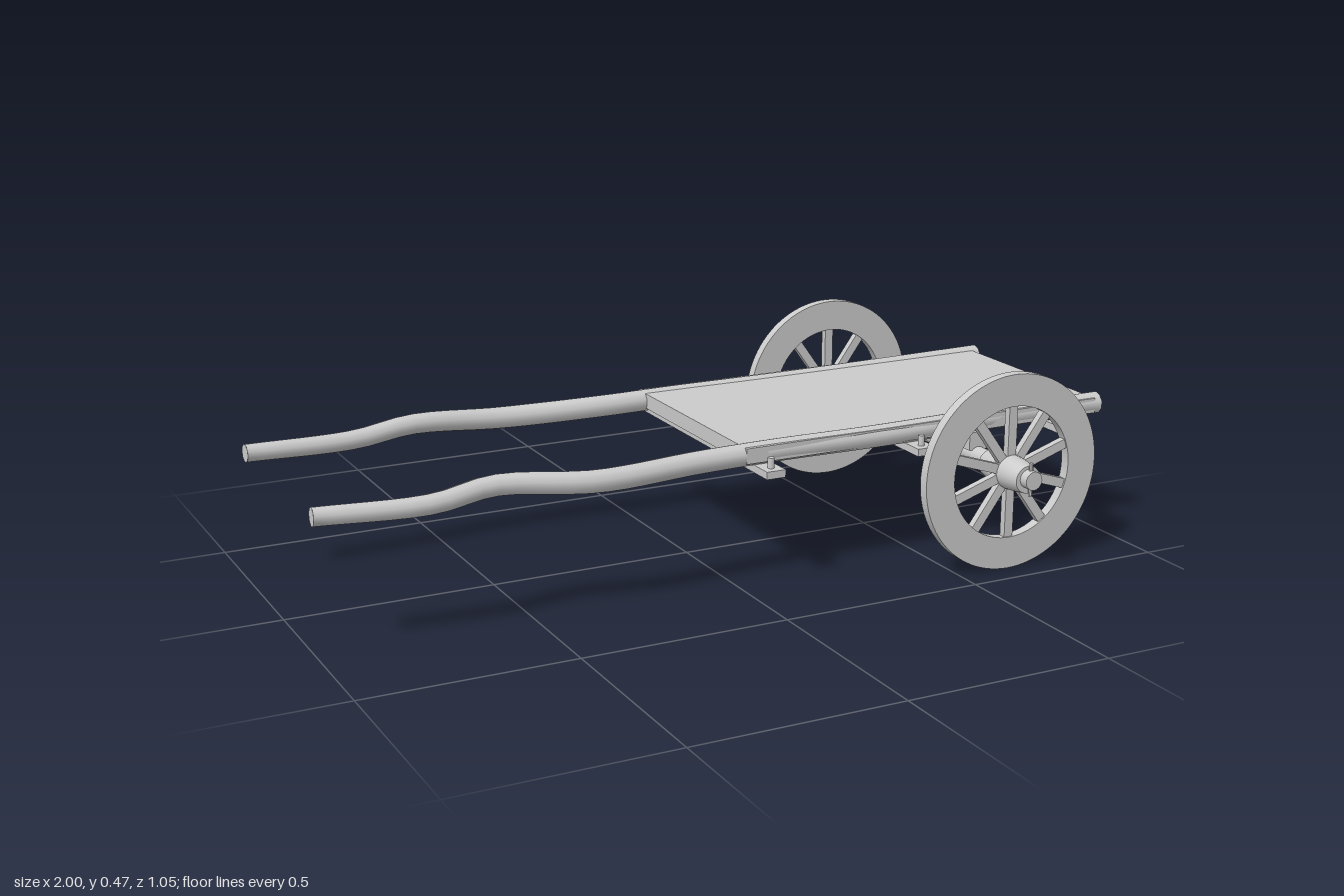
import * as THREE from 'three';

const mat = new THREE.MeshStandardMaterial({ color: 0xcccccc });
const flatMat = new THREE.MeshStandardMaterial({ color: 0xcccccc, flatShading: true });

const AXLE_X = 0.633, AXLE_Y = 0.241;

function add(parent, name, geometry, x = 0, y = 0, z = 0, material = mat) {
  const mesh = new THREE.Mesh(geometry, material);
  mesh.name = name;
  mesh.position.set(x, y, z);
  parent.add(mesh);
  return mesh;
}

// Hand-hewn pole: an octagonal tube along a wavering path, thinner at the grip
function makePole(points) {
  const pole = new THREE.Group();
  const curve = new THREE.CatmullRomCurve3(points.map(p => new THREE.Vector3(...p)));
  const rings = 48, sides = 10;
  const radiusAt = t => 0.0215 + 0.006 * Math.min(1, t / 0.35);
  const tube = new THREE.TubeGeometry(curve, rings, 1, sides);
  const pos = tube.attributes.position, v = new THREE.Vector3();
  for (let i = 0; i < pos.count; i++) {
    const t = Math.floor(i / (sides + 1)) / rings;
    const c = curve.getPointAt(t);
    v.fromBufferAttribute(pos, i).sub(c).multiplyScalar(radiusAt(t)).add(c);
    pos.setXYZ(i, v.x, v.y, v.z);
  }
  tube.computeVertexNormals();
  add(pole, 'poleShaft', tube);
  // End caps
  for (const t of [0, 1]) {
    const c = curve.getPointAt(t);
    const cap = add(pole, 'poleEnd', new THREE.CircleGeometry(radiusAt(t), sides), c.x, c.y, c.z);
    const out = curve.getTangentAt(t).multiplyScalar(t ? 1 : -1);
    cap.quaternion.setFromUnitVectors(new THREE.Vector3(0, 0, 1), out);
  }
  return pole;
}

// Wheel in the xy plane, centred on its own origin
function makeWheel() {
  const wheel = new THREE.Group();
  const rimShape = new THREE.Shape().absarc(0, 0, 0.237, 0, Math.PI * 2);
  rimShape.holes.push(new THREE.Path().absarc(0, 0, 0.16, 0, Math.PI * 2, true));
  const rim = new THREE.ExtrudeGeometry(rimShape, { depth: 0.026, bevelEnabled: false, curveSegments: 48 });
  add(wheel, 'rim', rim.translate(0, 0, -0.013));

  // Spokes
  const count = 10;
  for (let i = 0; i < count; i++) {
    const spoke = add(wheel, 'spoke', new THREE.BoxGeometry(0.023, 0.14, 0.018).translate(0, 0.1, 0));
    spoke.rotation.z = (i / count) * Math.PI * 2;
  }

  // Barrel-shaped hub
  const barrel = [[0.033, -0.077], [0.038, -0.045], [0.041, -0.015], [0.041, 0.015], [0.038, 0.045], [0.033, 0.077]]
    .map(p => new THREE.Vector2(...p));
  add(wheel, 'hub', new THREE.LatheGeometry(barrel, 24).rotateX(Math.PI / 2));
  for (const s of [-1, 1]) {
    const face = add(wheel, 'hubFace', new THREE.CircleGeometry(0.033, 24), 0, 0, s * 0.077);
    if (s < 0) face.rotation.y = Math.PI;
  }
  return wheel;
}

export function createModel() {
  const cart = new THREE.Group();
  cart.name = 'handCart';

  // Flat bed
  add(cart, 'bed', new THREE.BoxGeometry(0.97, 0.037, 0.576), 0.495, 0.3195, -0.002);

  // Two slightly different poles running the full length
  const xs = [-1, -0.74, -0.59, -0.36, -0.1, 0.1, 0.36, 0.65, 1];
  const ys = [0.32, 0.314, 0.328, 0.312, 0.315, 0.317, 0.317, 0.318, 0.32];
  const zLeft = [0.261, 0.274, 0.253, 0.279, 0.262, 0.26, 0.266, 0.26, 0.262];
  const zRight = [-0.248, -0.262, -0.279, -0.291, -0.267, -0.265, -0.262, -0.265, -0.27];
  for (const [name, zs] of [['frontPole', zLeft], ['backPole', zRight]]) {
    const pole = makePole(xs.map((x, i) => [x, ys[i], zs[i]]));
    pole.name = name;
    cart.add(pole);
  }

  // Cross bars under the bed, pegged at each end
  for (const x of [0.058, 0.46, 0.868]) {
    add(cart, 'crossBar', new THREE.BoxGeometry(0.048, 0.018, 0.676), x, 0.285, 0);
    for (const s of [-1, 1])
      add(cart, 'peg', new THREE.CylinderGeometry(0.008, 0.008, 0.05, 10), x, 0.294, s * 0.312);
  }

  // Axle
  const axle = new THREE.CylinderGeometry(0.0225, 0.0225, 1.052, 20).rotateX(Math.PI / 2);
  add(cart, 'axle', axle, AXLE_X, AXLE_Y, 0);

  for (const s of [-1, 1]) {
    // Blocks between the axle and the poles
    add(cart, 'axleBlock', new THREE.BoxGeometry(0.05, 0.044, 0.05), AXLE_X, 0.278, s * 0.271);
    // Wheels and the pins that hold them
    const wheel = makeWheel();
    wheel.name = s > 0 ? 'frontWheel' : 'backWheel';
    wheel.position.set(AXLE_X, AXLE_Y - 0.003, s * 0.425);
    cart.add(wheel);
    add(cart, 'linchPin', new THREE.CylinderGeometry(0.005, 0.005, 0.08, 8), AXLE_X, AXLE_Y, s * 0.512, flatMat);
  }
  return cart;
}
